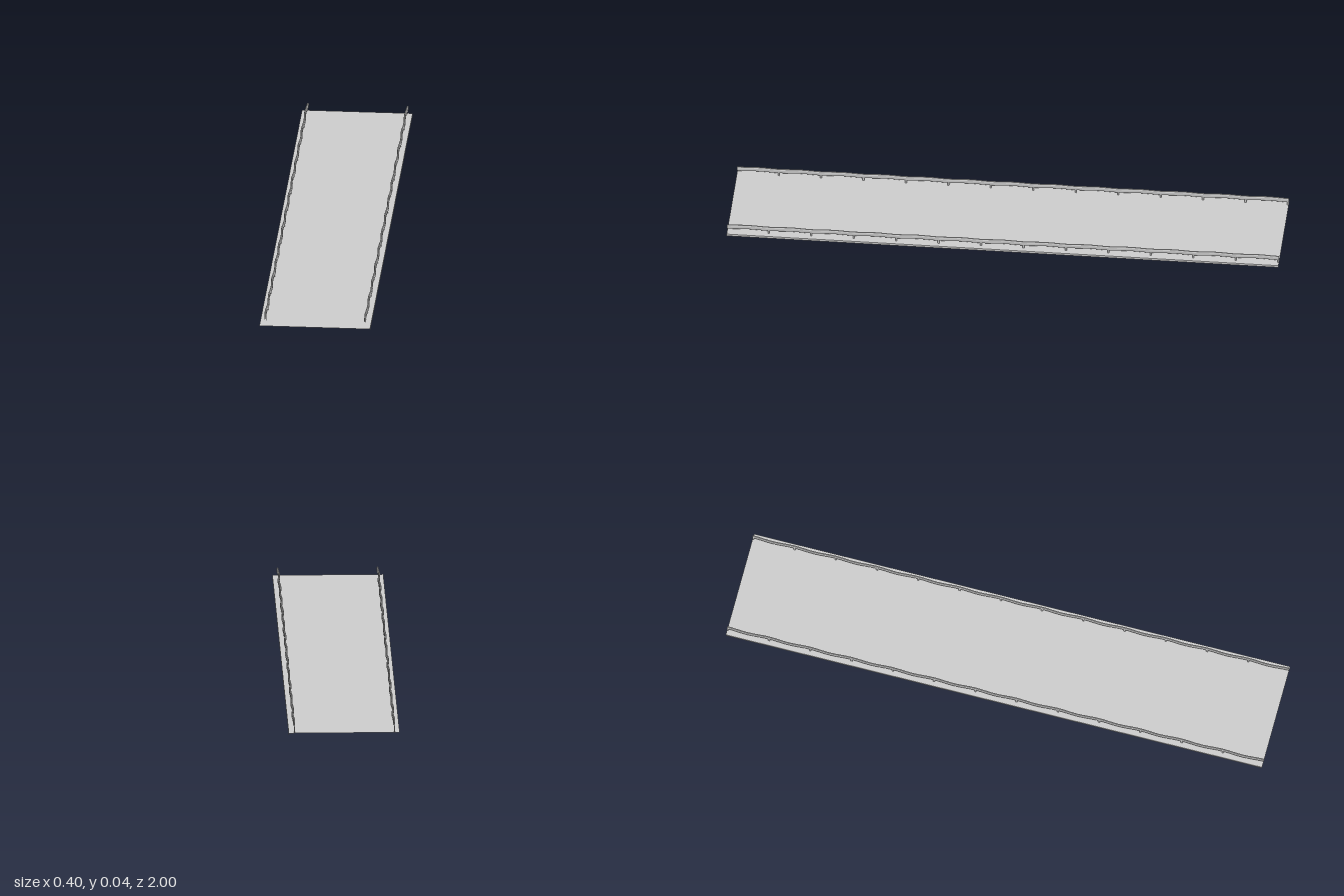
import * as THREE from 'three';

const LENGTH = 2, HALF_WIDTH = 0.2, DECK = 0.008;
const BAYS = 13, BAY = LENGTH / BAYS;

// Loft a closed [x, y] section along z, swaying gently sideways once per bay; ends stay open
function sweep(section, sway = 0, steps = 1) {
  const pos = [], index = [], n = section.length;
  for (let i = 0; i <= steps; i++) {
    const z = -LENGTH / 2 + (LENGTH * i) / steps;
    const dx = sway * Math.cos((2 * Math.PI * (z + LENGTH / 2)) / BAY);
    for (const [x, y] of section) pos.push(x + dx, y, z);
  }
  for (let i = 0; i < steps; i++) {
    for (let j = 0; j < n; j++) {
      const a = i * n + j, b = i * n + ((j + 1) % n);
      index.push(a, b, b + n, a, b + n, a + n);
    }
  }
  const g = new THREE.BufferGeometry();
  g.setAttribute('position', new THREE.Float32BufferAttribute(pos, 3));
  g.setIndex(index);
  const flat = g.toNonIndexed();
  flat.computeVertexNormals();
  return flat;
}

export function createModel() {
  const model = new THREE.Group();
  const grey = new THREE.MeshStandardMaterial({ color: 0xcccccc, flatShading: true });
  const add = (name, geometry, parent = model) => {
    const mesh = new THREE.Mesh(geometry, grey);
    mesh.name = name;
    parent.add(mesh);
    return mesh;
  };

  // Road slab, open at both ends so sections can join
  const w = HALF_WIDTH;
  add('roadDeck', sweep([[-w, 0], [w, 0], [w, DECK], [-w, DECK]]));

  // Rail section: a slim upright octagon
  const section = [
    [-0.0018, 0.021], [0.0018, 0.021], [0.0036, 0.025], [0.0036, 0.033],
    [0.0018, 0.037], [-0.0018, 0.037], [-0.0036, 0.033], [-0.0036, 0.025],
  ];
  const railGeometry = sweep(section, 0.0018, BAYS * 8);
  const postGeometry = new THREE.BoxGeometry(0.0035, 0.024, 0.006);

  for (const [side, x] of [['left', 0.18], ['right', -0.181]]) {
    const guard = new THREE.Group();
    guard.name = side + 'Guardrail';
    guard.position.x = x;
    add(side + 'Rail', railGeometry, guard);
    // One post at the rear end of every bay
    for (let i = 0; i < BAYS; i++) {
      add(side + 'Post', postGeometry, guard)
        .position.set(0, DECK + 0.012, -LENGTH / 2 + 0.003 + i * BAY);
    }
    model.add(guard);
  }
  return model;
}
